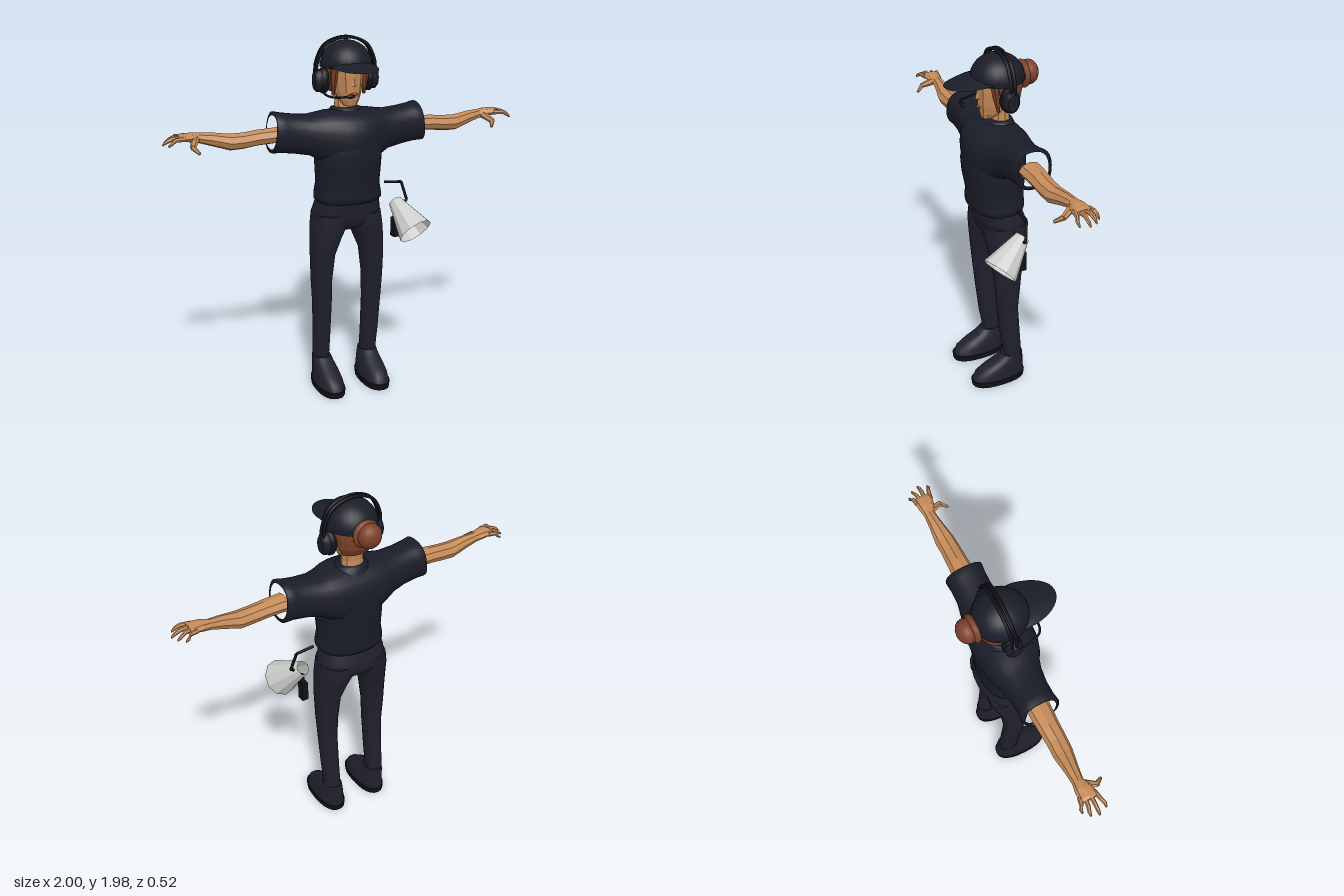
import * as THREE from 'three';

const mat = (name, color) => Object.assign(new THREE.MeshStandardMaterial({ color }), { name });
const shirtMat = mat('navy cloth', 0x1a1c28);
const pantsMat = mat('dark trousers', 0x20202d);
const blackMat = mat('black', 0x111218);
const skinMat = mat('skin', 0xc48a58);
const hairMat = mat('brown hair', 0x7d4229);
const lipMat = mat('lips', 0x9a5540);
const greyMat = mat('light grey', 0xcccfcb);
greyMat.side = THREE.DoubleSide;
const brimMat = mat('cap brim', 0x1a1c28);
brimMat.side = THREE.DoubleSide;

const V = (x, y, z) => new THREE.Vector3(x, y, z);

// Cross-sections [pos, centreA, centreB, radiusA, radiusB] joined along an axis.
// axis 'y': A = x, B = z.  axis 'x': A = z, B = y.  Positions ascend.
function loft(sections, { axis = 'y', sides = 20, power = 2, caps = true } = {}) {
  const pos = [], idx = [], n = sections.length;
  const put = (p, a, b) => (axis === 'y' ? pos.push(a, p, b) : pos.push(p, b, a));
  const bend = (v) => Math.sign(v) * Math.abs(v) ** (2 / power);
  for (const [p, ca, cb, ra, rb] of sections)
    for (let i = 0; i < sides; i++) {
      const t = (i / sides) * Math.PI * 2;
      put(p, ca + ra * bend(Math.cos(t)), cb + rb * bend(Math.sin(t)));
    }
  for (let j = 0; j < n - 1; j++)
    for (let i = 0; i < sides; i++) {
      const a = j * sides + i, b = j * sides + ((i + 1) % sides);
      idx.push(a, a + sides, b, b, a + sides, b + sides);
    }
  if (caps)
    for (const j of [0, n - 1]) {
      const c = pos.length / 3, start = c;
      const [p, ca, cb, ra, rb] = sections[j];
      for (let i = 0; i < sides; i++) {
        const t = (i / sides) * Math.PI * 2;
        put(p, ca + ra * bend(Math.cos(t)), cb + rb * bend(Math.sin(t)));
      }
      put(p, ca, cb);
      for (let i = 0; i < sides; i++) {
        const a = start + i, b = start + ((i + 1) % sides);
        if (j === 0) idx.push(start + sides, a, b); else idx.push(start + sides, b, a);
      }
    }
  const g = new THREE.BufferGeometry();
  g.setAttribute('position', new THREE.Float32BufferAttribute(pos, 3));
  g.setIndex(idx);
  g.computeVertexNormals();
  return g;
}

const flat = (g) => {
  const f = g.index ? g.toNonIndexed() : g;
  f.computeVertexNormals();
  return f;
};

// Reflects a geometry in x and keeps its faces outward
function mirrored(g) {
  const m = g.clone().scale(-1, 1, 1);
  if (!m.index) m.setIndex([...Array(m.attributes.position.count).keys()]);
  const ix = m.index.array;
  for (let i = 0; i < ix.length; i += 3) [ix[i], ix[i + 1]] = [ix[i + 1], ix[i]];
  return flat(m) && m;
}

// Tapered rod between two points
function bar(p, q, r0, r1, sides = 8, open = false) {
  const d = q.clone().sub(p), g = new THREE.CylinderGeometry(r1, r0, d.length(), sides, 1, open);
  g.applyQuaternion(new THREE.Quaternion().setFromUnitVectors(V(0, 1, 0), d.normalize()));
  const m = p.clone().add(q).multiplyScalar(0.5);
  return g.translate(m.x, m.y, m.z);
}

const ball = (x, y, z, rx, ry, rz, w = 16, h = 12) =>
  new THREE.SphereGeometry(1, w, h).scale(rx, ry, rz).translate(x, y, z);

export function createModel() {
  const model = new THREE.Group();
  model.name = 'crewMember';
  const add = (name, g, m) => {
    const mesh = new THREE.Mesh(g, m);
    mesh.name = name;
    model.add(mesh);
    return mesh;
  };
  const pair = (name, g, m) => {
    add(name + 'Left', g, m);
    add(name + 'Right', mirrored(g), m);
  };

  // Shirt: lower body and a sleeve-to-sleeve upper tube, open at both ends
  add('shirtBody', loft([
    [1.1, 0, -0.02, 0.172, 0.13], [1.115, 0, -0.018, 0.188, 0.146], [1.14, 0, -0.018, 0.187, 0.148],
    [1.2, 0, -0.018, 0.175, 0.147], [1.3, 0, -0.013, 0.179, 0.162], [1.38, 0, -0.012, 0.182, 0.167],
    [1.43, 0, -0.014, 0.165, 0.163],
  ], { sides: 28, power: 2.3, caps: false }), shirtMat);
  const half = [
    [0.06, -0.014, 1.445, 0.163, 0.157], [0.12, -0.022, 1.452, 0.15, 0.147], [0.17, -0.03, 1.462, 0.13, 0.128],
    [0.22, -0.032, 1.474, 0.115, 0.109], [0.3, -0.03, 1.486, 0.1, 0.105], [0.37, -0.03, 1.497, 0.099, 0.104],
    [0.42, -0.03, 1.503, 0.104, 0.108], [0.422, -0.03, 1.503, 0.085, 0.088],
  ];
  const sleeves = loft([
    ...half.slice().reverse().map(([x, ...r]) => [-x, ...r]), [0, -0.013, 1.443, 0.167, 0.159], ...half,
  ], { axis: 'x', sides: 28, power: 2.4, caps: false });
  // Cuffs lean out toward the bottom
  const sp = sleeves.attributes.position;
  for (let i = 0; i < sp.count; i++) {
    const x = sp.getX(i), k = Math.max(0, Math.abs(x) - 0.3) / 0.12;
    sp.setX(i, x - Math.sign(x) * k * (sp.getY(i) - 1.5) * 0.12);
  }
  sleeves.computeVertexNormals();
  add('shirtSleeves', sleeves, shirtMat);
  add('collar', loft([[1.57, 0, -0.035, 0.11, 0.095], [1.605, 0, -0.04, 0.085, 0.075], [1.61, 0, -0.045, 0.07, 0.06]]), shirtMat);

  // Trousers
  add('trouserSeat', loft([
    [0.94, 0, -0.04, 0.07, 0.08], [0.965, 0, -0.043, 0.15, 0.115], [1.0, 0, -0.045, 0.196, 0.13],
    [1.05, 0, -0.038, 0.192, 0.128], [1.12, 0, -0.02, 0.176, 0.12],
  ], { sides: 24, power: 2.3 }), pantsMat);
  pair('trouserLeg', loft([
    [0.15, 0.145, -0.07, 0.046, 0.05], [0.3, 0.147, -0.05, 0.048, 0.057], [0.5, 0.149, -0.03, 0.052, 0.06],
    [0.65, 0.152, -0.028, 0.056, 0.073], [0.8, 0.145, -0.027, 0.065, 0.088], [0.9, 0.123, -0.032, 0.083, 0.108],
    [0.96, 0.106, -0.037, 0.096, 0.122], [1.03, 0.1, -0.04, 0.092, 0.122],
  ], { sides: 18, power: 2.4 }), pantsMat);

  // Shoes
  pair('shoeSole', loft([[0, 0.137, 0.022, 0.074, 0.16], [0.035, 0.137, 0.022, 0.078, 0.164]], { sides: 24, power: 2.4 }), blackMat);
  pair('shoeUpper', loft([
    [0.034, 0.137, 0.021, 0.074, 0.16], [0.07, 0.137, 0.015, 0.071, 0.15], [0.105, 0.138, -0.01, 0.065, 0.122],
    [0.14, 0.14, -0.045, 0.057, 0.085], [0.172, 0.142, -0.063, 0.05, 0.063],
  ], { sides: 24, power: 2.3 }), pantsMat);
  for (const [i, z] of [0.0, 0.025].entries())
    pair('lace' + i, bar(V(0.11, 0.155 - i * 0.018, z), V(0.17, 0.155 - i * 0.018, z), 0.007, 0.007, 6), blackMat);

  // Arms
  pair('arm', flat(loft([
    [0.39, -0.027, 1.488, 0.062, 0.042], [0.5, -0.027, 1.483, 0.056, 0.042], [0.58, -0.025, 1.474, 0.053, 0.043],
    [0.65, -0.027, 1.472, 0.052, 0.044], [0.74, -0.033, 1.493, 0.038, 0.036], [0.81, -0.037, 1.506, 0.03, 0.027],
    [0.85, -0.033, 1.513, 0.043, 0.026], [0.9, -0.03, 1.517, 0.05, 0.02], [0.915, -0.03, 1.515, 0.047, 0.015],
  ], { axis: 'x', sides: 8 })), skinMat);
  // Fingers: knuckle depth, tip reach and tip depth
  for (const [i, [z, tip, tz]] of [[-0.07, 0.955, -0.088], [-0.045, 0.985, -0.058], [-0.018, 1.0, -0.018], [0.008, 0.98, 0.028]].entries()) {
    const mid = 0.895 + (tip - 0.895) * 0.5;
    pair('finger' + i, flat(loft([
      [0.885, z, 1.515, 0.012, 0.013], [mid, (z + tz) / 2, 1.516, 0.011, 0.012],
      [tip - 0.02, tz, 1.502, 0.01, 0.011], [tip, tz, 1.488, 0.005, 0.006],
    ], { axis: 'x', sides: 6 })), skinMat);
  }
  pair('thumbBase', flat(bar(V(0.83, 1.505, -0.02), V(0.86, 1.475, 0.045), 0.022, 0.015, 6)), skinMat);
  pair('thumbTip', flat(bar(V(0.86, 1.478, 0.04), V(0.835, 1.45, 0.08), 0.015, 0.008, 6)), skinMat);

  // Head and neck
  add('neck', flat(loft([[1.56, 0, -0.05, 0.066, 0.055], [1.64, 0, -0.05, 0.06, 0.05], [1.72, 0, -0.055, 0.062, 0.055]], { sides: 10 })), skinMat);
  add('head', flat(loft([
    [1.625, 0, 0.025, 0.033, 0.03], [1.655, 0, -0.003, 0.055, 0.067], [1.7, 0, -0.02, 0.071, 0.094],
    [1.78, 0, -0.03, 0.082, 0.11], [1.88, 0, -0.03, 0.085, 0.11],
  ], { sides: 12, power: 2.2 })), skinMat);
  add('nose', flat(bar(V(0, 1.735, 0.077), V(0, 1.785, 0.072), 0.014, 0.005, 4)), skinMat);
  add('lips', ball(0, 1.69, 0.073, 0.024, 0.008, 0.005, 8, 6), lipMat);

  // Hair and bun
  add('hair', flat(loft([
    [1.69, 0, -0.085, 0.08, 0.045], [1.73, 0, -0.08, 0.1, 0.075], [1.79, 0, -0.068, 0.112, 0.1],
    [1.86, 0, -0.06, 0.115, 0.112],
  ], { sides: 16 })), hairMat);
  pair('sideLock', flat(bar(V(0.088, 1.68, 0.0), V(0.088, 1.85, 0.025), 0.008, 0.028, 6)), hairMat);
  add('hairBun', ball(0, 1.832, -0.212, 0.064, 0.066, 0.052), hairMat);
  add('bunBase', new THREE.TorusGeometry(0.058, 0.018, 8, 18).translate(0, 1.828, -0.178), hairMat);

  // Cap
  add('capCrown', new THREE.SphereGeometry(1, 24, 10, 0, Math.PI * 2, 0, Math.PI / 2)
    .scale(0.137, 0.125, 0.142).translate(0, 1.838, -0.035), brimMat);
  add('capBand', loft([[1.826, 0, -0.035, 0.139, 0.144], [1.85, 0, -0.035, 0.139, 0.144]], { sides: 24, caps: false }), brimMat);
  add('capButton', ball(0, 1.963, -0.035, 0.013, 0.007, 0.013, 10, 6), shirtMat);
  const brim = new THREE.PlaneGeometry(2, 1, 16, 4), bp = brim.attributes.position;
  for (let i = 0; i < bp.count; i++) {
    const a = bp.getX(i) * 1.25, v = bp.getY(i) + 0.5;
    const x = Math.sin(a) * 0.128, inner = Math.cos(a) * 0.13 - 0.035, outer = -0.02 + 0.278 * Math.cos(a) ** 0.8;
    const z = inner + (outer - inner) * v;
    bp.setXYZ(i, x, 1.862 - Math.max(0, z - 0.08) * 0.2 - x * x * 1.6, z);
  }
  brim.computeVertexNormals();
  add('capBrim', brim, brimMat);

  // Headset
  for (const [i, z] of [-0.032, -0.055].entries()) {
    const arc = new THREE.CatmullRomCurve3([[-0.168, 1.77], [-0.163, 1.85], [-0.115, 1.94], [0, 1.977],
      [0.115, 1.94], [0.163, 1.85], [0.168, 1.77]].map(([x, y]) => V(x, y, z)));
    add('headband' + i, new THREE.TubeGeometry(arc, 32, 0.009, 6), blackMat);
  }
  pair('earCushion', loft([[0.108, -0.04, 1.755, 0.042, 0.058], [0.118, -0.04, 1.755, 0.05, 0.068],
    [0.138, -0.04, 1.755, 0.05, 0.068], [0.145, -0.04, 1.755, 0.042, 0.058]], { axis: 'x', sides: 18 }), blackMat);
  pair('earShell', loft([[0.142, -0.04, 1.755, 0.044, 0.06], [0.165, -0.04, 1.755, 0.044, 0.06],
    [0.18, -0.04, 1.755, 0.03, 0.045]], { axis: 'x', sides: 18 }), shirtMat);
  const boom = new THREE.CatmullRomCurve3([V(-0.15, 1.71, -0.03), V(-0.14, 1.69, 0.06), V(-0.11, 1.69, 0.125), V(-0.04, 1.695, 0.14)]);
  add('micBoom', new THREE.TubeGeometry(boom, 16, 0.006, 6), blackMat);
  add('microphone', ball(-0.045, 1.694, 0.14, 0.026, 0.012, 0.013, 10, 8), blackMat);

  // Megaphone with strap bracket and grip
  add('megaphoneHorn', flat(bar(V(0.3, 1.045, -0.04), V(0.355, 0.905, 0.118), 0.038, 0.1, 10, true)), greyMat);
  add('megaphoneGrip', new THREE.BoxGeometry(0.036, 0.11, 0.045).translate(0.3, 0.895, -0.035), blackMat);
  add('gripNeck', bar(V(0.3, 0.94, -0.035), V(0.305, 1.0, -0.03), 0.012, 0.012, 6), blackMat);
  const strap = [V(0.235, 1.163, -0.042), V(0.338, 1.153, -0.042), V(0.366, 1.05, -0.025), V(0.325, 1.03, -0.02)];
  for (let i = 0; i < 3; i++) add('megaphoneBracket' + i, bar(strap[i], strap[i + 1], 0.008, 0.008, 6), blackMat);

  return model;
}
